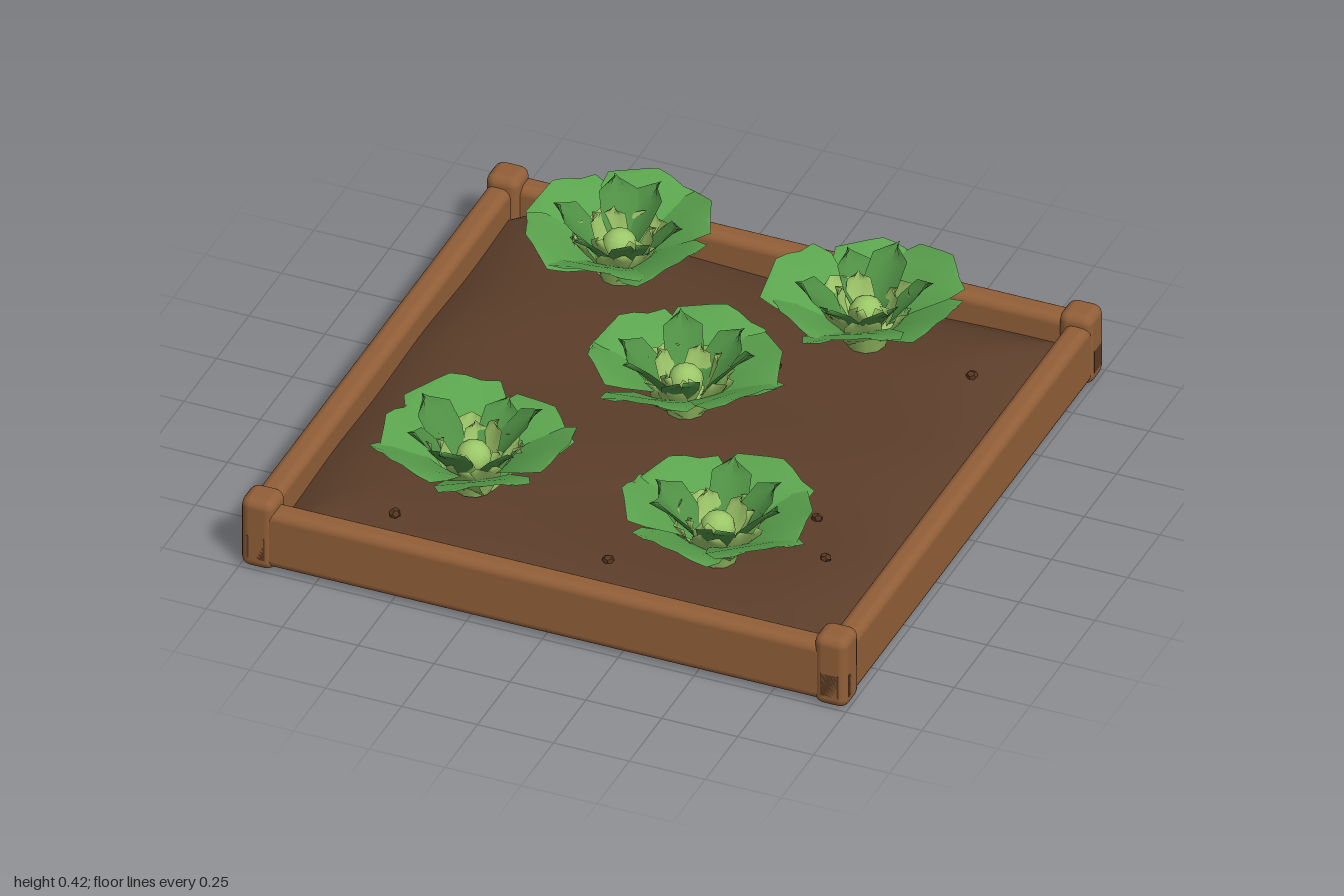
import * as THREE from 'three';
import { RoundedBoxGeometry } from 'three/addons/geometries/RoundedBoxGeometry.js';

const mat = (name, color, double) => {
  const m = new THREE.MeshStandardMaterial({ color });
  m.name = name;
  if (double) m.side = THREE.DoubleSide;
  return m;
};

// Gently domed soil that sinks towards the planks
function soilHeight(x, z) {
  const edge = Math.max(Math.abs(x), Math.abs(z)) / 0.93;
  return 0.18 - 0.075 * Math.pow(edge, 7)
    + 0.008 * Math.sin(x * 5 + 1) * Math.cos(z * 4) + 0.005 * Math.sin(z * 9 + x * 3);
}

// Cupped leaf growing along +z; rows are [radius, height, half width, edge lift]
function leafGeometry(rows) {
  const pos = [], idx = [];
  const cols = [-1, -0.5, 0, 0.5, 1];
  rows.forEach(([r, y, w, lift], i) => {
    for (const c of cols) {
      const back = i === rows.length - 1 ? 0.025 * Math.abs(c) : 0;
      pos.push(c * w, y + lift * c * c, r - back);
    }
    if (i === 0) return;
    for (let j = 0; j < 4; j++) {
      const a = (i - 1) * 5 + j, b = a + 5;
      idx.push(a, b, a + 1, a + 1, b, b + 1);
    }
  });
  const g = new THREE.BufferGeometry();
  g.setAttribute('position', new THREE.Float32BufferAttribute(pos, 3));
  g.setIndex(idx);
  g.computeVertexNormals();
  return g;
}

export function createModel() {
  const model = new THREE.Group();
  model.name = 'lettuceBed';
  const wood = mat('wood', 0x925f38);
  const darkWood = mat('darkWood', 0x5a3a23);
  const soilMat = mat('soil', 0x5c3e2a, true);
  const pebbleMat = mat('pebble', 0x55361f);
  const leafGreen = mat('leafGreen', 0x5ba44e, true);
  const innerGreen = mat('innerGreen', 0x4f9044, true);
  const paleGreen = mat('paleGreen', 0x9cc468, true);
  const heartGreen = mat('heartGreen', 0x9cc868);

  const add = (parent, name, geo, material, x = 0, y = 0, z = 0) => {
    const m = new THREE.Mesh(geo, material);
    m.name = name;
    m.position.set(x, y, z);
    parent.add(m);
    return m;
  };

  // Planks around the bed
  const plankGeo = new RoundedBoxGeometry(1.93, 0.205, 0.082, 3, 0.03);
  ['frontPlank', 'leftPlank', 'backPlank', 'rightPlank'].forEach((name, i) => {
    const a = i * Math.PI / 2;
    const p = add(model, name, plankGeo, wood, Math.sin(a) * 0.953, 0.1125, Math.cos(a) * 0.953);
    p.rotation.y = a;
  });

  // Corner posts with dark, worn feet on the outer faces
  const postGeo = new RoundedBoxGeometry(0.112, 0.25, 0.112, 2, 0.032);
  const footGeo = new THREE.BoxGeometry(0.06, 0.08, 0.004);
  for (const sx of [-1, 1]) for (const sz of [-1, 1]) {
    add(model, 'cornerPost', postGeo, wood, sx * 0.944, 0.125, sz * 0.944);
    add(model, 'wornFoot', footGeo, darkWood, sx * 0.945, 0.08, sz * 0.998);
    add(model, 'wornFoot', footGeo, darkWood, sx * 0.998, 0.08, sz * 0.945).rotation.y = Math.PI / 2;
  }

  // Soil sheet
  const soil = new THREE.PlaneGeometry(1.87, 1.87, 32, 32).rotateX(-Math.PI / 2);
  const sp = soil.attributes.position;
  for (let i = 0; i < sp.count; i++) sp.setY(i, soilHeight(sp.getX(i), sp.getZ(i)));
  soil.computeVertexNormals();
  add(model, 'soil', soil, soilMat);

  // Pebbles
  const pebbleGeo = new THREE.DodecahedronGeometry(0.019, 0);
  [[0.74, -0.58], [0.18, -0.38], [0.61, 0.31], [0.11, 0.75], [-0.58, 0.78], [-0.7, 0.45], [0.72, 0.5]]
    .forEach(([x, z], i) => {
      const p = add(model, 'pebble', pebbleGeo, pebbleMat, x, soilHeight(x, z) + 0.006, z);
      p.rotation.set(i, i * 2, 0);
      p.scale.y = 0.75;
    });

  // Leaf rings from outside to heart: [name, geometry, material, count, phase]
  const rings = [
    ['outerLeaf', leafGeometry([[0.04, 0.215, 0.03, 0.01], [0.11, 0.285, 0.1, 0.01],
      [0.2, 0.34, 0.15, 0.0], [0.26, 0.37, 0.145, -0.015], [0.295, 0.385, 0.09, -0.025]]),
      leafGreen, 6, 0],
    ['middleLeaf', leafGeometry([[0.04, 0.225, 0.025, 0.01], [0.1, 0.3, 0.06, 0.025],
      [0.155, 0.365, 0.06, 0.02], [0.21, 0.41, 0.006, 0]]),
      innerGreen, 6, 0.5],
    ['paleLeaf', leafGeometry([[0.03, 0.19, 0.04, 0.005], [0.08, 0.235, 0.06, 0.01],
      [0.125, 0.31, 0.055, 0.012], [0.15, 0.34, 0.03, 0]]),
      paleGreen, 7, 0.2],
    ['heartLeaf', leafGeometry([[0.03, 0.21, 0.03, 0.005], [0.07, 0.27, 0.045, 0.012],
      [0.095, 0.33, 0.035, 0.01], [0.11, 0.36, 0.008, 0]]),
      paleGreen, 5, 0.6],
  ];
  const heartGeo = new THREE.SphereGeometry(0.055, 10, 8);
  const stemGeo = new THREE.CylinderGeometry(0.085, 0.06, 0.07, 10);

  // Lettuces: x, z, turn
  [[-0.45, -0.65, 0.1], [0.38, -0.61, 0.35], [0.02, -0.06, 0], [-0.41, 0.57, 0.55], [0.42, 0.63, 0.8]]
    .forEach(([x, z, turn], n) => {
      const plant = new THREE.Group();
      plant.name = 'lettuce';
      plant.position.set(x, 0, z);
      plant.rotation.y = turn;
      model.add(plant);
      for (const [name, geo, material, count, phase] of rings) {
        for (let i = 0; i < count; i++) {
          const leaf = add(plant, name, geo, material);
          leaf.rotation.order = 'YXZ';
          leaf.rotation.y = (i + phase) / count * Math.PI * 2;
          leaf.rotation.z = 0.1 * Math.sin(i * 2.4 + n);
          leaf.scale.setScalar(1 + 0.03 * Math.sin(i * 3.1 + n * 1.7));
        }
      }
      add(plant, 'heart', heartGeo, heartGreen, 0, 0.29, 0);
      add(plant, 'stem', stemGeo, heartGreen, 0, 0.215, 0);
    });

  return model;
}
